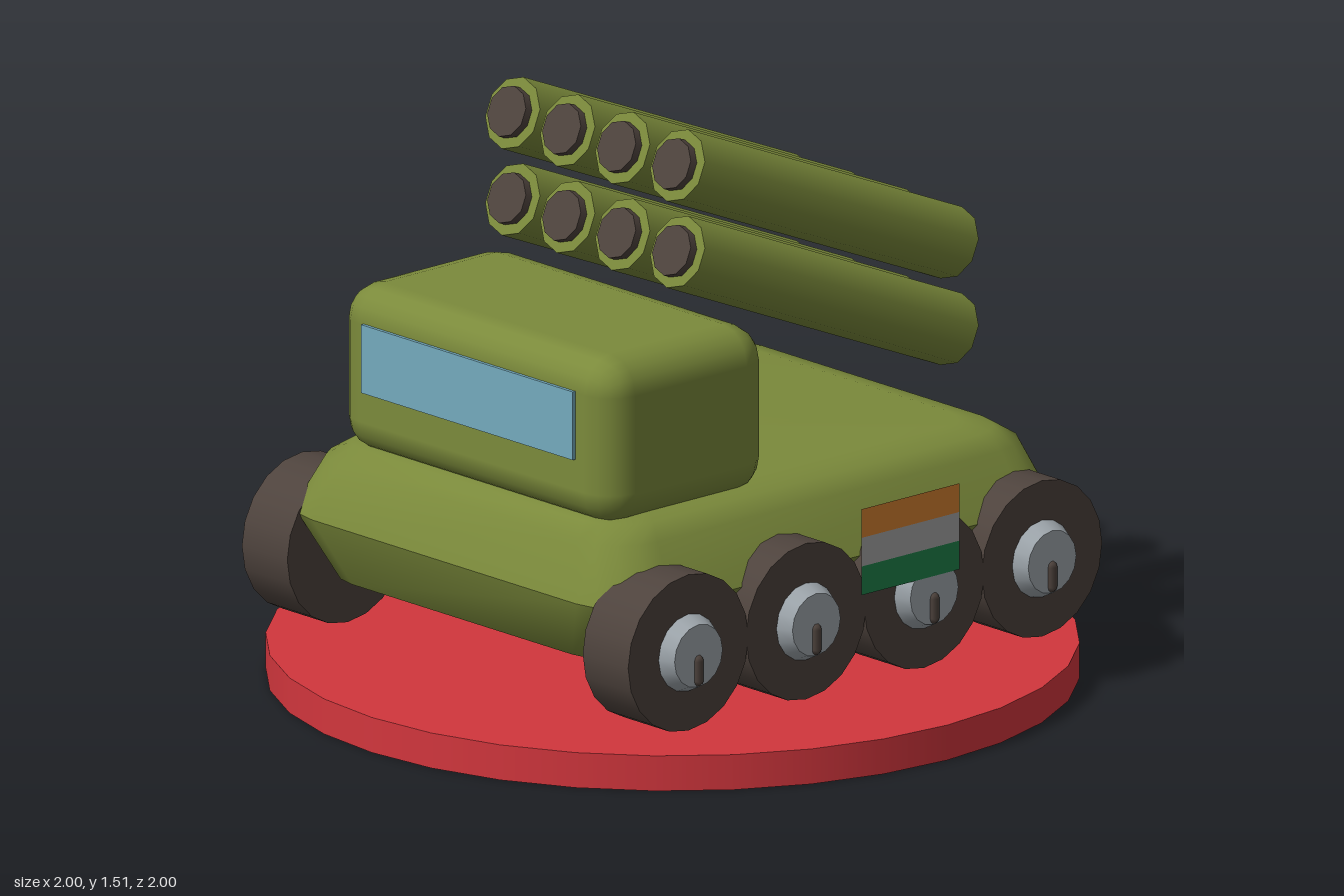
import * as THREE from 'three';
import { RoundedBoxGeometry } from 'three/addons/geometries/RoundedBoxGeometry.js';

const material = (name, color, side = THREE.FrontSide) =>
  new THREE.MeshStandardMaterial({ name, color, side });

// Closed solid through rounded rectangles [y, halfX, halfZ, cornerRadius], bottom to top
function loft(layers, capBottom, capTop) {
  const steps = 4, n = 4 * (steps + 1), pos = [], index = [];
  for (const [y, hx, hz, r] of layers) {
    for (let q = 0; q < 4; q++) {
      const sx = q === 0 || q === 3 ? 1 : -1, sz = q < 2 ? 1 : -1;
      for (let k = 0; k <= steps; k++) {
        const a = (q + k / steps) * Math.PI / 2;
        pos.push(sx * (hx - r) + r * Math.cos(a), y, sz * (hz - r) + r * Math.sin(a));
      }
    }
  }
  for (let i = 0; i < layers.length - 1; i++) {
    for (let j = 0; j < n; j++) {
      const a = i * n + j, b = i * n + (j + 1) % n;
      index.push(a, a + n, b, b, a + n, b + n);
    }
  }
  const cap = (start, y, up) => {
    const c = pos.length / 3;
    pos.push(0, y, 0);
    for (let j = 0; j < n; j++) {
      const a = start + j, b = start + (j + 1) % n;
      index.push(c, up ? b : a, up ? a : b);
    }
  };
  const last = layers.length - 1;
  if (capBottom) cap(0, layers[0][0], false);
  if (capTop) cap(last * n, layers[last][0], true);
  const g = new THREE.BufferGeometry();
  g.setAttribute('position', new THREE.Float32BufferAttribute(pos, 3));
  g.setIndex(index);
  g.computeVertexNormals();
  return g;
}

export function createModel() {
  const model = new THREE.Group();
  model.name = 'rocketTruck';
  const green = material('olive green', 0x7b8a3b);
  const red = material('base red', 0xd2363d);
  const dark = material('dark rubber', 0x4e433d);
  const steel = material('hub grey', 0xa0a8ae);
  const glass = material('window blue', 0x74aabd);
  const orange = material('flag orange', 0xd58030, THREE.DoubleSide);
  const white = material('flag pale grey', 0xa6a6a6, THREE.DoubleSide);
  const flagGreen = material('flag green', 0x1f824a, THREE.DoubleSide);

  const add = (parent, name, geometry, mat, x = 0, y = 0, z = 0) => {
    const m = new THREE.Mesh(geometry, mat);
    m.name = name;
    m.position.set(x, y, z);
    parent.add(m);
    return m;
  };

  // Round base
  add(model, 'base', new THREE.CylinderGeometry(1, 1, 0.09, 32), red, 0, 0.045, 0);

  // Chassis: two halves meeting in a sharp waistline
  const waist = [0.44, 0.65, 0.76, 0.17];
  add(model, 'chassisLower', loft([[0.24, 0.44, 0.6, 0.1], [0.28, 0.54, 0.7, 0.14], waist], true, false), green);
  add(model, 'chassisUpper', loft([waist, [0.58, 0.57, 0.71, 0.14], [0.615, 0.52, 0.66, 0.12], [0.63, 0.45, 0.59, 0.1]], false, true), green);

  // Cabin and windscreen
  add(model, 'cabin', new RoundedBoxGeometry(1, 0.43, 0.55, 2, 0.09), green, 0, 0.815, 0.395);
  add(model, 'windscreen', new THREE.BoxGeometry(0.77, 0.175, 0.009), glass, -0.005, 0.857, 0.675);

  // Wheels: tyre, tapered hub and a small upright lug
  const tyre = new THREE.CylinderGeometry(0.2, 0.2, 0.165, 20);
  const hub = new THREE.CylinderGeometry(0.08, 0.1, 0.04, 16);
  const lug = new THREE.CapsuleGeometry(0.016, 0.05, 3, 8);
  for (const side of [1, -1]) {
    for (let i = 0; i < 4; i++) {
      const wheel = new THREE.Group();
      wheel.name = (side > 0 ? 'left' : 'right') + 'Wheel' + (i + 1);
      wheel.position.set(0, 0.33, 0.59 - i * 0.392);
      add(wheel, 'tyre', tyre, dark, side * 0.62).rotation.z = -side * Math.PI / 2;
      add(wheel, 'hub', hub, steel, side * 0.72).rotation.z = -side * Math.PI / 2;
      add(wheel, 'lug', lug, dark, side * 0.735, -0.038, 0);
      model.add(wheel);
    }
  }

  // Launch tubes: two rows of four, tilted up to the front
  const tube = new THREE.CylinderGeometry(0.092, 0.092, 0.988, 10);
  const plug = new THREE.CylinderGeometry(0.065, 0.065, 0.04, 10);
  for (let row = 0; row < 2; row++) {
    for (let col = 0; col < 4; col++) {
      const launcher = new THREE.Group();
      launcher.name = 'launchTube' + (row * 4 + col + 1);
      launcher.position.set(-0.303 + col * 0.2, 1.228 - row * 0.222, -0.2);
      launcher.rotation.x = 1.171;
      add(launcher, 'tube', tube, green);
      add(launcher, 'plug', plug, dark, 0, 0.496, 0);
      model.add(launcher);
    }
  }

  // Three-striped flag on the left side
  [flagGreen, white, orange].forEach((mat, i) => {
    const stripe = new THREE.PlaneGeometry(0.325, 0.0735);
    add(model, 'flagStripe' + (i + 1), stripe, mat, 0.742, 0.412 + i * 0.0735, -0.113).rotation.y = Math.PI / 2;
  });
  return model;
}
